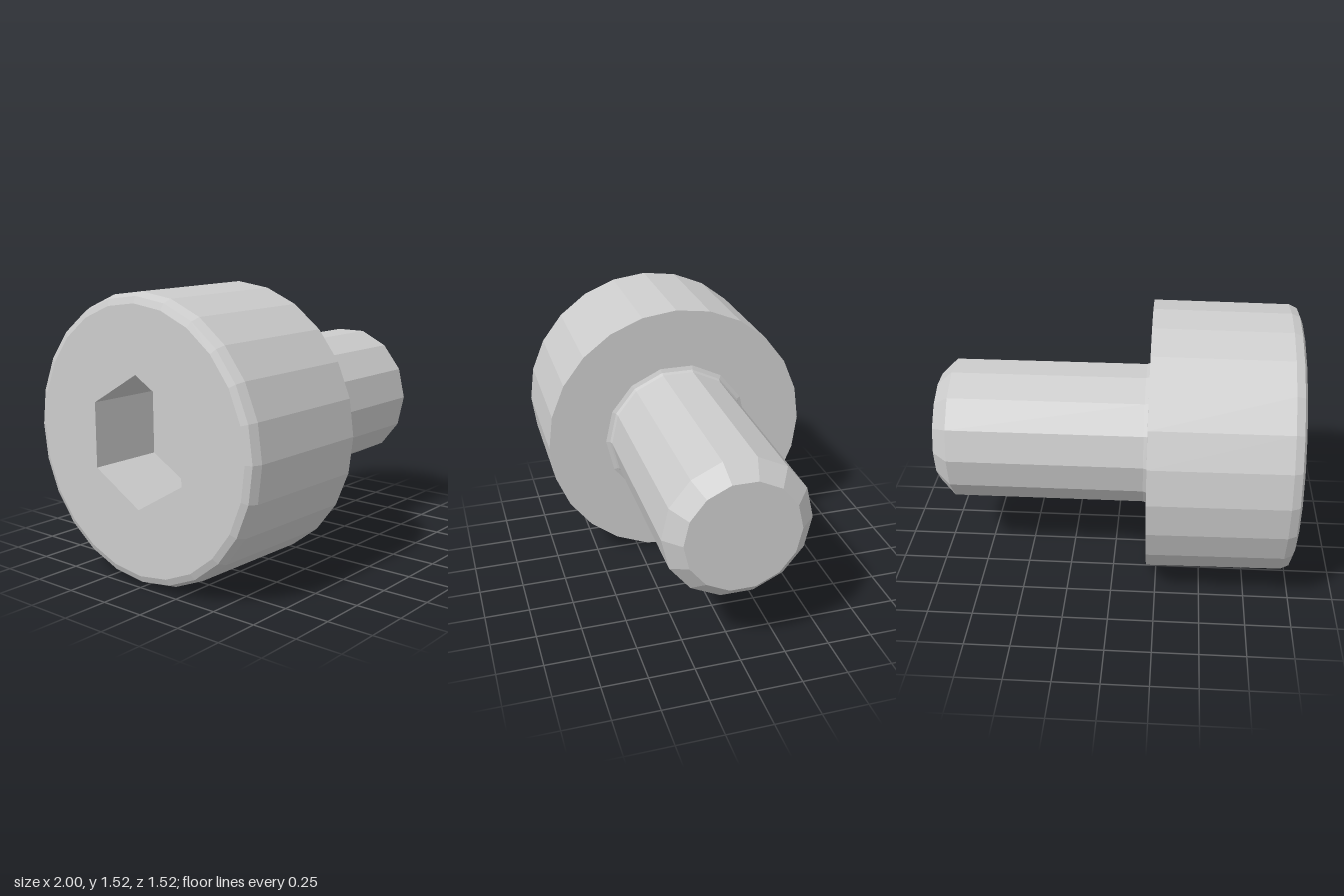
import * as THREE from 'three';

const AXIS_Y = 0.7625;   // height of the screw axis
const HEAD_R = 0.7625, HEAD_SIDES = 24;
const SOCKET_R = 0.347, SOCKET_FLOOR = -0.58;

export function createModel() {
  const model = new THREE.Group();
  model.name = 'socketScrew';
  const material = new THREE.MeshStandardMaterial({ color: 0xcccccc, flatShading: true });

  const add = (name, geometry) => {
    const mesh = new THREE.Mesh(geometry, material);
    mesh.name = name;
    mesh.position.y = AXIS_Y;
    model.add(mesh);
  };

  // Turns a profile of [radius, x] pairs around the x axis
  const turned = (profile, sides, start = 0) =>
    new THREE.LatheGeometry(profile.map(([r, x]) => new THREE.Vector2(r, x)), sides, start)
      .rotateZ(-Math.PI / 2);

  // Regular polygon with a corner at the top
  const polygon = (radius, sides) =>
    Array.from({ length: sides }, (_, i) => {
      const a = Math.PI / 2 + (i / sides) * Math.PI * 2;
      return new THREE.Vector2(radius * Math.cos(a), radius * Math.sin(a));
    });

  // Head: rounded outer rim, straight side, flat underside
  add('head', turned([
    [0.70, -1], [0.735, -0.985], [0.755, -0.94], [HEAD_R, -0.2], [0.38, -0.2],
  ], HEAD_SIDES));

  // Flat end of the head, pierced by the hexagon
  const face = new THREE.Shape(polygon(0.70, HEAD_SIDES));
  face.holes.push(new THREE.Path(polygon(SOCKET_R, 6)));
  add('headFace', new THREE.ShapeGeometry(face).rotateY(-Math.PI / 2).translate(-1, 0, 0));

  // Hexagonal recess: floor and inward-facing walls
  add('hexSocket', turned([
    [0, SOCKET_FLOOR], [SOCKET_R, SOCKET_FLOOR], [SOCKET_R, -1],
  ], 6, Math.PI / 2));

  // Shank: small fillet under the head, plain rod, chamfered tip
  add('shank', turned([
    [0.43, -0.2], [0.408, -0.19], [0.4, -0.17], [0.4, 0.91], [0.312, 1], [0, 1],
  ], 14));

  return model;
}
